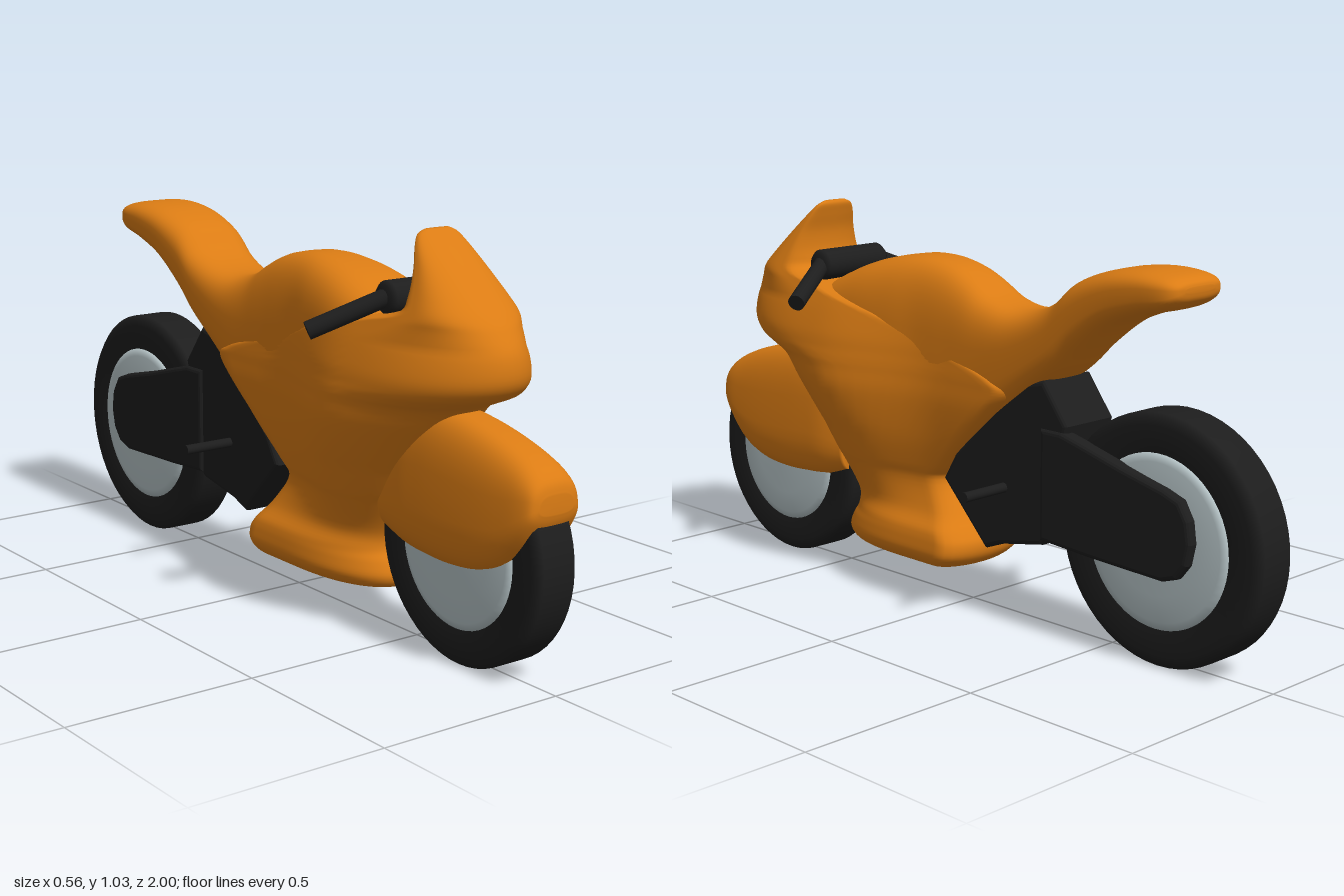
import * as THREE from 'three';

const paint = new THREE.MeshStandardMaterial({ color: 0xdb7c14 });
const black = new THREE.MeshStandardMaterial({ color: 0x1d1d1d });
const metal = new THREE.MeshStandardMaterial({ color: 0xb9c7ca });

// Smoothly resample rows of numbers
function resample(rows, steps) {
  const out = [];
  const at = i => rows[Math.min(Math.max(i, 0), rows.length - 1)];
  for (let i = 0; i < rows.length - 1; i++) {
    for (let s = 0; s < steps; s++) {
      const t = s / steps;
      out.push(at(i).map((b, k) => {
        const a = at(i - 1)[k], c = at(i + 1)[k], d = at(i + 2)[k];
        return b + 0.5 * t * (c - a + t * (2 * a - 5 * b + 4 * c - d + t * (3 * (b - c) + d - a)));
      }));
    }
  }
  out.push(rows[rows.length - 1]);
  return out;
}

// Closed skin over a stack of loops, turned outwards by its signed volume
function loft(rings) {
  const n = rings[0].length, pts = rings.flat(), idx = [];
  for (let i = 0; i < rings.length - 1; i++) {
    for (let j = 0; j < n; j++) {
      const a = i * n + j, b = i * n + (j + 1) % n;
      idx.push(a, b, a + n, b, b + n, a + n);
    }
  }
  const cap = (ring, base, flip) => {
    const c = pts.length;
    pts.push(ring.reduce((s, p) => s.add(p), new THREE.Vector3()).divideScalar(n));
    for (let j = 0; j < n; j++) {
      const a = base + j, b = base + (j + 1) % n;
      idx.push(c, flip ? b : a, flip ? a : b);
    }
  };
  cap(rings[0], 0, true);
  cap(rings[rings.length - 1], (rings.length - 1) * n, false);
  let volume = 0;
  const cross = new THREE.Vector3();
  for (let i = 0; i < idx.length; i += 3) {
    volume += pts[idx[i]].dot(cross.crossVectors(pts[idx[i + 1]], pts[idx[i + 2]]));
  }
  if (volume < 0) idx.reverse();
  const g = new THREE.BufferGeometry().setFromPoints(pts);
  g.setIndex(idx);
  g.computeVertexNormals();
  return g;
}

// Upright slices: rows of z, bottom, top, half width; taper narrows the top
function uprightLoft(rows, power, taper) {
  const n = 48;
  return loft(resample(rows, 5).map(([z, lo, hi, w]) => {
    const ring = [];
    for (let j = 0; j < n; j++) {
      const a = (j / n) * Math.PI * 2, c = Math.cos(a), s = Math.sin(a);
      const x = Math.sign(c) * Math.abs(c) ** (2 / power);
      const y = Math.sign(s) * Math.abs(s) ** (2 / power);
      ring.push(new THREE.Vector3(x * w * (1 - taper * y), (lo + hi) / 2 + y * (hi - lo) / 2, z));
    }
    return ring;
  }));
}

// Level slices: rows of y, back z, front z, half width
function fairingLoft(rows) {
  const n = 28;
  return loft(resample(rows, 5).map(([y, back, front, w]) => {
    const len = front - back, nose = Math.min(0.36, len * 0.6), heel = Math.min(0.06, len * 0.3);
    const half = z => {
      const waist = 0.58 + 0.42 * THREE.MathUtils.smoothstep(z, 0.02, 0.42);
      let x = w * THREE.MathUtils.lerp(1, waist, THREE.MathUtils.smoothstep(y, 0.2, 0.34));
      const f = Math.max(0, (z - front + nose) / nose), b = Math.max(0, (back + heel - z) / heel);
      x *= Math.sqrt(Math.max(0, 1 - f ** 2.4)) * Math.sqrt(Math.max(0, 1 - b * b));
      return x;
    };
    const ring = [];
    for (let j = 0; j < 2 * n; j++) {
      const z = back + len * (1 - Math.cos((j / n) * Math.PI)) / 2;
      ring.push(new THREE.Vector3((j <= n ? 1 : -1) * half(z), y, z));
    }
    return ring;
  }));
}

// Side outline of (z, y) points extruded across x
function plate(points, x0, x1, bevel) {
  const shape = new THREE.Shape(points.map(([z, y]) => new THREE.Vector2(-z, y)));
  const g = new THREE.ExtrudeGeometry(shape, {
    depth: x1 - x0 - 2 * bevel, bevelThickness: bevel, bevelSize: bevel, bevelOffset: -bevel, bevelSegments: 3,
  });
  g.translate(0, 0, x0 + bevel);
  g.rotateY(Math.PI / 2);
  return g;
}

function rod(from, to, radius) {
  const a = new THREE.Vector3(...from), b = new THREE.Vector3(...to);
  const g = new THREE.CylinderGeometry(radius, radius, a.distanceTo(b), 16);
  g.applyQuaternion(new THREE.Quaternion().setFromUnitVectors(new THREE.Vector3(0, 1, 0), b.clone().sub(a).normalize()));
  const m = a.add(b).multiplyScalar(0.5);
  return g.translate(m.x, m.y, m.z);
}

function lathe(profile) {
  const g = new THREE.LatheGeometry(profile.map(p => new THREE.Vector2(...p)), 56);
  return g.rotateZ(Math.PI / 2);
}

export function createModel() {
  const bike = new THREE.Group();
  const add = (name, geometry, material, parent = bike) => {
    const mesh = new THREE.Mesh(geometry, material);
    mesh.name = name;
    parent.add(mesh);
    return mesh;
  };

  // Wheels: tyre with domed discs
  const wheel = (name, r, rim, z) => {
    const group = new THREE.Group();
    group.name = name;
    group.position.set(0, r, z);
    add('tyre', lathe([[rim - 0.01, -0.05], [rim, -0.06], [r - 0.03, -0.06], [r - 0.012, -0.057], [r, -0.047],
      [r, 0.047], [r - 0.012, 0.057], [r - 0.03, 0.06], [rim, 0.06], [rim - 0.01, 0.05]]), black, group);
    add('rim', lathe([[0, -0.074], [rim * 0.6, -0.071], [rim * 0.9, -0.065], [rim, -0.058],
      [rim, 0.058], [rim * 0.9, 0.065], [rim * 0.6, 0.071], [0, 0.074]]), metal, group);
    bike.add(group);
  };
  wheel('frontWheel', 0.288, 0.197, 0.712);
  wheel('rearWheel', 0.315, 0.22, -0.685);

  // Front fairing, windscreen cowl and belly pan
  add('fairing', fairingLoft([
    [0.102, 0.0, 0.39, 0.09], [0.112, -0.04, 0.435, 0.125], [0.14, -0.068, 0.45, 0.146], [0.175, -0.072, 0.435, 0.145],
    [0.205, -0.055, 0.415, 0.138], [0.25, -0.02, 0.42, 0.122], [0.33, 0.03, 0.465, 0.145], [0.37, 0.0, 0.495, 0.162],
    [0.45, -0.08, 0.555, 0.188], [0.55, -0.19, 0.635, 0.205], [0.61, -0.25, 0.69, 0.203], [0.635, -0.22, 0.745, 0.201],
    [0.66, -0.15, 0.8, 0.197], [0.7, 0.0, 0.828, 0.19], [0.76, 0.18, 0.825, 0.172], [0.81, 0.4, 0.797, 0.153],
    [0.84, 0.53, 0.772, 0.141], [0.88, 0.555, 0.73, 0.124], [0.94, 0.558, 0.662, 0.098], [0.99, 0.547, 0.603, 0.076],
    [1.017, 0.541, 0.572, 0.058], [1.028, 0.545, 0.56, 0.035],
  ]), paint);

  // Tank, seat and tail in one flowing shell
  add('tankAndTail', uprightLoft([
    [-0.753, 0.922, 0.935, 0.05], [-0.745, 0.9, 0.948, 0.083], [-0.71, 0.877, 0.961, 0.103], [-0.63, 0.856, 0.967, 0.11],
    [-0.53, 0.815, 0.955, 0.112], [-0.43, 0.74, 0.92, 0.112], [-0.36, 0.675, 0.863, 0.112], [-0.28, 0.615, 0.828, 0.112],
    [-0.2, 0.55, 0.818, 0.112], [-0.12, 0.48, 0.838, 0.112], [-0.05, 0.43, 0.877, 0.113], [0.02, 0.4, 0.905, 0.115],
    [0.11, 0.42, 0.919, 0.12], [0.2, 0.45, 0.914, 0.134], [0.3, 0.48, 0.893, 0.146], [0.39, 0.5, 0.86, 0.148],
    [0.47, 0.52, 0.822, 0.142], [0.53, 0.55, 0.79, 0.12],
  ], 3.2, 0), paint);

  // Front mudguard
  add('frontFender', uprightLoft([
    [0.985, 0.43, 0.475, 0.05], [0.975, 0.4, 0.505, 0.073], [0.94, 0.345, 0.535, 0.086], [0.88, 0.282, 0.562, 0.094],
    [0.8, 0.247, 0.586, 0.099], [0.7, 0.234, 0.606, 0.101], [0.6, 0.238, 0.615, 0.1], [0.52, 0.25, 0.59, 0.096],
    [0.44, 0.275, 0.5, 0.08],
  ], 3, 0.12), paint);

  // Engine block between body and rear wheel
  add('engineBlock', plate([[0.025, 0.345], [-0.13, 0.185], [-0.19, 0.208], [-0.33, 0.235], [-0.37, 0.27], [-0.4, 0.5],
    [-0.415, 0.555], [-0.335, 0.66], [-0.24, 0.64], [-0.02, 0.42]], -0.088, 0.088, 0.012), black);

  const arm = [[-0.33, 0.25], [-0.5, 0.24], [-0.73, 0.232], [-0.775, 0.247], [-0.805, 0.285], [-0.817, 0.34],
    [-0.808, 0.395], [-0.78, 0.44], [-0.73, 0.458], [-0.6, 0.488], [-0.46, 0.525], [-0.4, 0.54], [-0.33, 0.54]];
  // Handlebar hub, then the paired arms, bars and pegs
  add('handlebarHub', lathe([[0, -0.112], [0.032, -0.112], [0.042, -0.1], [0.042, 0.1], [0.032, 0.112], [0, 0.112]]), black)
    .position.set(0, 0.862, 0.492);
  for (const [side, s] of [['left', 1], ['right', -1]]) {
    add(side + 'SwingArm', s > 0 ? plate(arm, 0.05, 0.096, 0.012) : plate(arm, -0.096, -0.05, 0.012), black);
    add(side + 'Handlebar', rod([s * 0.09, 0.868, 0.495], [s * 0.267, 0.787, 0.4], 0.023), black);
    add(side + 'FootPeg', rod([s * 0.07, 0.362, -0.2], [s * 0.23, 0.362, -0.2], 0.013), black);
  }
  return bike;
}
